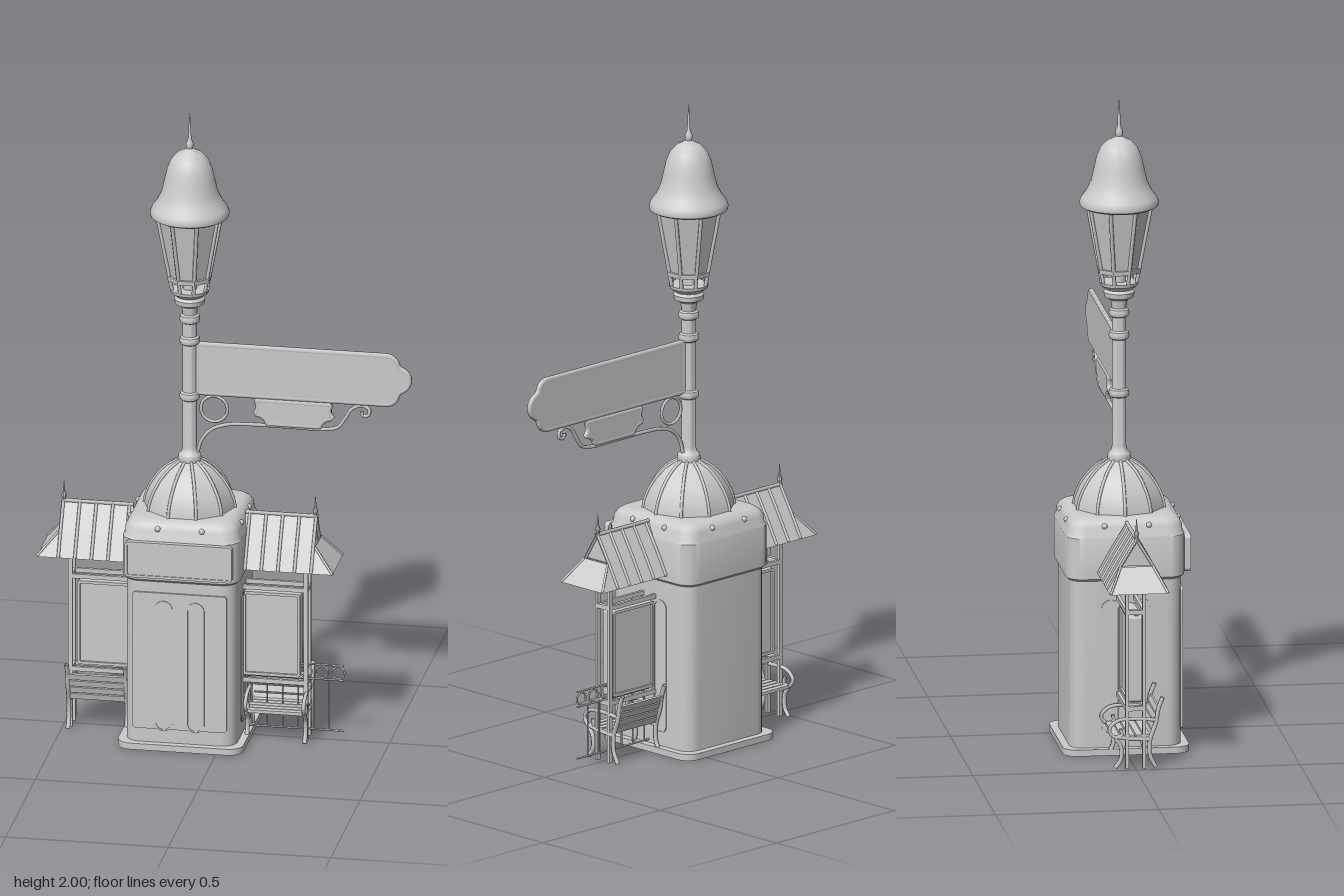
import * as THREE from 'three';
import { toCreasedNormals } from 'three/addons/utils/BufferGeometryUtils.js';

const grey = new THREE.MeshStandardMaterial({ color: 0xcccccc, side: THREE.DoubleSide });
grey.name = 'plain grey';
const V = (x, y, z = 0) => new THREE.Vector3(x, y, z);
const CX = -0.115; // axis of the kiosk and lamp

function add(parent, name, geo, x = 0, y = 0, z = 0) {
  const m = new THREE.Mesh(geo, grey);
  m.name = name;
  m.position.set(x, y, z);
  parent.add(m);
  return m;
}
const box = (p, name, w, h, d, x, y, z) => add(p, name, new THREE.BoxGeometry(w, h, d), x, y, z);
const lathe = (p, name, pts, n = 32, start = 0) => add(p, name, toCreasedNormals(
  new THREE.LatheGeometry(pts.map(q => new THREE.Vector2(...q)), n, start), n < 12 ? 0.4 : 0.7));
const tube = (p, name, pts, r, closed = false, seg = 32) => add(p, name,
  new THREE.TubeGeometry(new THREE.CatmullRomCurve3(pts, closed), seg, r, 6, closed));
// Straight round bar between two points
const bar = (p, name, a, b, r) => add(p, name,
  new THREE.TubeGeometry(new THREE.LineCurve3(a, b), 1, r, 6));
const extrude = (shape, depth) => new THREE.ExtrudeGeometry(shape, { depth, bevelEnabled: false, curveSegments: 16 });

function roundRect(S, w, h, r) {
  const s = new S();
  s.absarc(w - r, h - r, r, 0, Math.PI / 2);
  s.absarc(r - w, h - r, r, Math.PI / 2, Math.PI);
  s.absarc(r - w, r - h, r, Math.PI, Math.PI * 1.5);
  s.absarc(w - r, r - h, r, Math.PI * 1.5, Math.PI * 2);
  s.closePath();
  return s;
}
// Rectangular border with rounded corners
function border(w, h, r, t, depth) {
  const s = roundRect(THREE.Shape, w, h, r);
  s.holes.push(roundRect(THREE.Path, w - t, h - t, Math.max(r - t, 0.002)));
  return extrude(s, depth);
}

// Stack of rounded squares [y, half width, corner radius]
function loft(sections) {
  const K = 6, N = 4 * (K + 1), pos = [], idx = [];
  for (const [y, h, r] of sections)
    for (let c = 0; c < 4; c++) for (let k = 0; k <= K; k++) {
      const a = (c + k / K) * Math.PI / 2, m = (c + 0.5) * Math.PI / 2;
      pos.push(Math.sign(Math.cos(m)) * (h - r) + r * Math.cos(a), y,
        Math.sign(Math.sin(m)) * (h - r) + r * Math.sin(a));
    }
  const L = sections.length - 1;
  for (let s = 0; s < L; s++) for (let i = 0; i < N; i++) {
    const a = s * N + i, b = s * N + (i + 1) % N;
    idx.push(a, a + N, b, b, a + N, b + N);
  }
  for (let i = 1; i < N - 1; i++) idx.push(0, i, i + 1, L * N, L * N + i + 1, L * N + i);
  const g = new THREE.BufferGeometry();
  g.setAttribute('position', new THREE.Float32BufferAttribute(pos, 3));
  g.setIndex(idx);
  return toCreasedNormals(g, 0.6);
}

function kiosk(root) {
  const g = new THREE.Group(); g.name = 'kiosk'; g.position.x = CX; root.add(g);
  // Plinth with a round recess underneath
  const plinth = roundRect(THREE.Shape, 0.193, 0.193, 0.045);
  plinth.holes.push(new THREE.Path().absarc(0, 0, 0.14, 0, Math.PI * 2));
  const pg = extrude(plinth, 0.02); pg.rotateX(-Math.PI / 2);
  add(g, 'plinth', pg);
  for (const r of [0.115, 0.08]) {
    const ring = new THREE.TorusGeometry(r, 0.007, 6, 32); ring.rotateX(Math.PI / 2);
    add(g, 'undersideRing', ring, 0, 0.014, 0);
  }
  add(g, 'body', loft([[0.016, 0.17, 0.045], [0.545, 0.17, 0.045]]));
  add(g, 'upperBand', loft([[0.54, 0.172, 0.045], [0.548, 0.181, 0.05], [0.675, 0.181, 0.05], [0.683, 0.176, 0.048],
    [0.705, 0.174, 0.048], [0.72, 0.166, 0.045], [0.73, 0.152, 0.04], [0.733, 0.135, 0.035]]));
  // Front door and fascia plates
  add(g, 'frontPanel', extrude(roundRect(THREE.Shape, 0.145, 0.22, 0.01), 0.008), 0, 0.285, 0.168);
  add(g, 'fascia', extrude(roundRect(THREE.Shape, 0.165, 0.057, 0.012), 0.016), 0, 0.616, 0.178);
  add(g, 'fasciaRim', border(0.165, 0.057, 0.012, 0.008, 0.004), 0, 0.616, 0.193);
  // Tall round-ended mouldings on the front and both sides
  for (const [turn, dist] of [[0, 0.175], [1, 0.169], [-1, 0.169]]) {
    const side = new THREE.Group(); side.name = 'mouldings'; side.rotation.y = turn * Math.PI / 2; g.add(side);
    for (const x of [-0.049, 0.049])
      add(side, 'moulding', border(0.028, 0.21, 0.0279, 0.005, 0.004), x, 0.27, dist);
  }
  // Bolts around the cap
  for (let i = 0; i < 4; i++) for (const s of [-0.068, 0.068]) {
    const p = V(s, 0.71, 0.17).applyAxisAngle(V(0, 1, 0), i * Math.PI / 2);
    add(g, 'bolt', new THREE.SphereGeometry(0.009, 10, 8), p.x, p.y, p.z);
  }
  // Ribbed ten-sided dome
  const dome = [[0.14, 0.73], [0.136, 0.755], [0.122, 0.79], [0.1, 0.824], [0.07, 0.855], [0.033, 0.878], [0.026, 0.884]];
  lathe(g, 'dome', dome, 10, Math.PI / 10);
  for (let i = 0; i < 10; i++) {
    const a = i * Math.PI / 5;
    tube(g, 'domeRib', dome.map(([r, y]) => V(r * Math.cos(a), y, r * Math.sin(a))), 0.005, false, 16);
  }
}

function lamp(root) {
  const g = new THREE.Group(); g.name = 'lamp'; g.position.x = CX; root.add(g);
  lathe(g, 'pole', [[0.034, 0.87], [0.036, 0.885], [0.034, 0.897], [0.025, 0.905], [0.022, 0.92], [0.022, 1.37]], 20);
  for (const y of [1.085, 1.265, 1.335])
    lathe(g, 'collar', [[0.022, y - 0.014], [0.029, y - 0.01], [0.032, y], [0.029, y + 0.01], [0.022, y + 0.014]], 20);
  lathe(g, 'lampCup', [[0.022, 1.35], [0.026, 1.375], [0.045, 1.385], [0.047, 1.4], [0.04, 1.408], [0.058, 1.422], [0.06, 1.432], [0, 1.432]]);
  lathe(g, 'burner', [[0.022, 1.43], [0.022, 1.475]], 12);
  lathe(g, 'glass', [[0, 1.47], [0.06, 1.47], [0.098, 1.668]], 8, Math.PI / 8);
  for (let i = 0; i < 8; i++) {
    const a = (i + 0.5) * Math.PI / 4, p = (r, y) => V(r * Math.cos(a), y, r * Math.sin(a));
    bar(g, 'lampFrameBar', p(0.054, 1.425), p(0.101, 1.672), 0.006);
  }
  lathe(g, 'lampRing', [[0.056, 1.462], [0.068, 1.462], [0.07, 1.476], [0.058, 1.476]], 8, Math.PI / 8);
  lathe(g, 'lampHood', [[0, 1.664], [0.108, 1.664], [0.119, 1.67], [0.121, 1.68], [0.115, 1.695], [0.1, 1.715], [0.086, 1.745],
    [0.077, 1.785], [0.069, 1.82], [0.056, 1.85], [0.037, 1.87], [0.016, 1.88], [0.01, 1.885]], 40);
  lathe(g, 'spire', [[0.008, 1.88], [0.012, 1.892], [0.011, 1.903], [0.005, 1.915], [0.004, 1.95], [0.0005, 2]], 12);
}

function sign(root) {
  const g = new THREE.Group(); g.name = 'sign'; root.add(g);
  const plate = (name, s) => {
    add(g, name, extrude(s, 0.014), 0, 0, -0.007);
    tube(g, name + 'Rim', s.getSpacedPoints(120).slice(0, -1).map(p => V(p.x, p.y)), 0.009, true, 160);
  };
  // Main board with a scalloped end
  const s = new THREE.Shape();
  s.moveTo(-0.09, 1.097); s.lineTo(0.485, 1.097);
  s.absarc(0.49, 1.132, 0.035, -Math.PI / 2, 0);
  s.absarc(0.525, 1.176, 0.036, -1.3, 1.3);
  s.absarc(0.49, 1.217, 0.035, 0, Math.PI / 2);
  s.lineTo(-0.09, 1.252); s.closePath();
  plate('signBoard', s);
  // Small shaped plaque below
  const q = new THREE.Shape();
  q.moveTo(0.125, 1.01); q.lineTo(0.285, 1.01); q.quadraticCurveTo(0.29, 1.035, 0.325, 1.04);
  q.quadraticCurveTo(0.305, 1.055, 0.32, 1.082); q.lineTo(0.09, 1.082);
  q.quadraticCurveTo(0.105, 1.055, 0.085, 1.04); q.quadraticCurveTo(0.12, 1.035, 0.125, 1.01);
  plate('plaque', q);
  // Scrolled bracket
  tube(g, 'bracket', [V(-0.09, 0.905), V(-0.08, 0.94), V(-0.05, 0.978), V(0, 0.998), V(0.06, 1.003), V(0.2, 1.003), V(0.3, 1.003),
    V(0.34, 1.012), V(0.365, 1.045), V(0.385, 1.075), V(0.415, 1.087), V(0.438, 1.075), V(0.434, 1.056), V(0.416, 1.056), V(0.414, 1.068)], 0.006, false, 80);
  add(g, 'bracketRing', new THREE.TorusGeometry(0.041, 0.005, 6, 32), -0.04, 1.046, 0);
}

// Covered bench and display board, reaching along +x from the kiosk axis
function wing(root, name, turn) {
  const g = new THREE.Group(); g.name = name; g.position.x = CX; g.rotation.y = turn; root.add(g);
  // Gabled roof with a flared skirt
  const pos = [], quad = (a, b, c, d) => [a, b, c, a, c, d].forEach(p => pos.push(p.x, p.y, p.z));
  const i = 0.172, o = 0.395, e = 0.455;
  for (const s of [1, -1]) {
    quad(V(i, 0.72, 0), V(i, 0.637, 0.05 * s), V(o, 0.637, 0.05 * s), V(o, 0.72, 0));
    quad(V(i, 0.637, 0.05 * s), V(i, 0.565, 0.09 * s), V(e, 0.565, 0.09 * s), V(o, 0.637, 0.05 * s));
  }
  quad(V(o, 0.637, 0.05), V(e, 0.565, 0.09), V(e, 0.565, -0.09), V(o, 0.637, -0.05));
  pos.push(o - 0.01, 0.72, 0, o - 0.01, 0.637, 0.05, o - 0.01, 0.637, -0.05);
  const roof = new THREE.BufferGeometry();
  roof.setAttribute('position', new THREE.Float32BufferAttribute(pos, 3));
  roof.computeVertexNormals();
  add(g, 'roof', roof);
  for (const s of [1, -1]) {
    for (let d = 0.185; d < 0.4; d += 0.051)
      tube(g, 'roofSeam', [V(d, 0.72, 0), V(d, 0.637, 0.05 * s), V(d, 0.567, 0.089 * s)], 0.005, false, 6);
    bar(g, 'hipSeam', V(o, 0.637, 0.05 * s), V(e, 0.567, 0.088 * s), 0.004);
  }
  bar(g, 'ridge', V(i, 0.72, 0), V(o, 0.72, 0), 0.006);
  lathe(g, 'finial', [[0.006, 0.71], [0.006, 0.73], [0.009, 0.737], [0.004, 0.748], [0.0005, 0.785]], 8).position.x = 0.387;
  // Posts and rails
  for (const z of [-0.026, 0.026]) {
    box(g, 'post', 0.014, 0.565, 0.01, 0.362, 0.2825, z);
    for (const y of [0.187, 0.487, 0.558]) box(g, 'rail', 0.2, 0.014, 0.01, 0.265, y, z);
  }
  for (const y of [0.187, 0.487, 0.558]) box(g, 'postTie', 0.014, 0.014, 0.05, 0.362, y, 0);
  // Display board
  box(g, 'displayBoard', 0.165, 0.27, 0.03, 0.255, 0.335, 0);
  add(g, 'displayFrame', border(0.088, 0.135, 0.01, 0.009, 0.044), 0.255, 0.335, -0.022);
  // Bench with scrolled iron ends
  for (const x of [0.185, 0.364]) {
    tube(g, 'benchBack', [V(x, 0.004, -0.062), V(x, 0.04, -0.045), V(x, 0.09, -0.045), V(x, 0.14, -0.062), V(x, 0.185, -0.07), V(x, 0.22, -0.083)], 0.007);
    tube(g, 'benchFrontLeg', [V(x, 0.004, 0.062), V(x, 0.03, 0.045), V(x, 0.07, 0.045), V(x, 0.098, 0.06), V(x, 0.094, 0.02), V(x, 0.09, -0.045)], 0.007);
    tube(g, 'armScroll', [V(x, 0.15, -0.062), V(x, 0.155, 0), V(x, 0.15, 0.055), V(x, 0.125, 0.08), V(x, 0.1, 0.065), V(x, 0.105, 0.042), V(x, 0.125, 0.045)], 0.006);
  }
  for (let k = 0; k < 5; k++) box(g, 'seatSlat', 0.185, 0.01, 0.019, 0.273, 0.1, -0.034 + k * 0.023);
  for (let k = 0; k < 4; k++)
    box(g, 'backSlat', 0.185, 0.02, 0.008, 0.273, 0.108 + k * 0.023, -0.049 - k * 0.007).rotation.x = -0.3;
}

function fence(root) {
  const g = new THREE.Group(); g.name = 'fence'; root.add(g);
  for (const y of [0.03, 0.193, 0.24]) bar(g, 'fenceRail', V(0.05, y), V(0.36, y), 0.003);
  for (let x = 0.075; x < 0.33; x += 0.048) bar(g, 'fencePost', V(x, 0.03), V(x, 0.193), 0.0025);
  for (let x = 0.09; x < 0.36; x += 0.0505)
    add(g, 'fenceRing', new THREE.TorusGeometry(0.019, 0.003, 5, 20), x, 0.2165, 0);
}

export function createModel() {
  const root = new THREE.Group();
  root.name = 'lampKiosk';
  kiosk(root);
  lamp(root);
  sign(root);
  wing(root, 'leftWing', 0);
  wing(root, 'rightWing', Math.PI);
  fence(root);
  return root;
}
